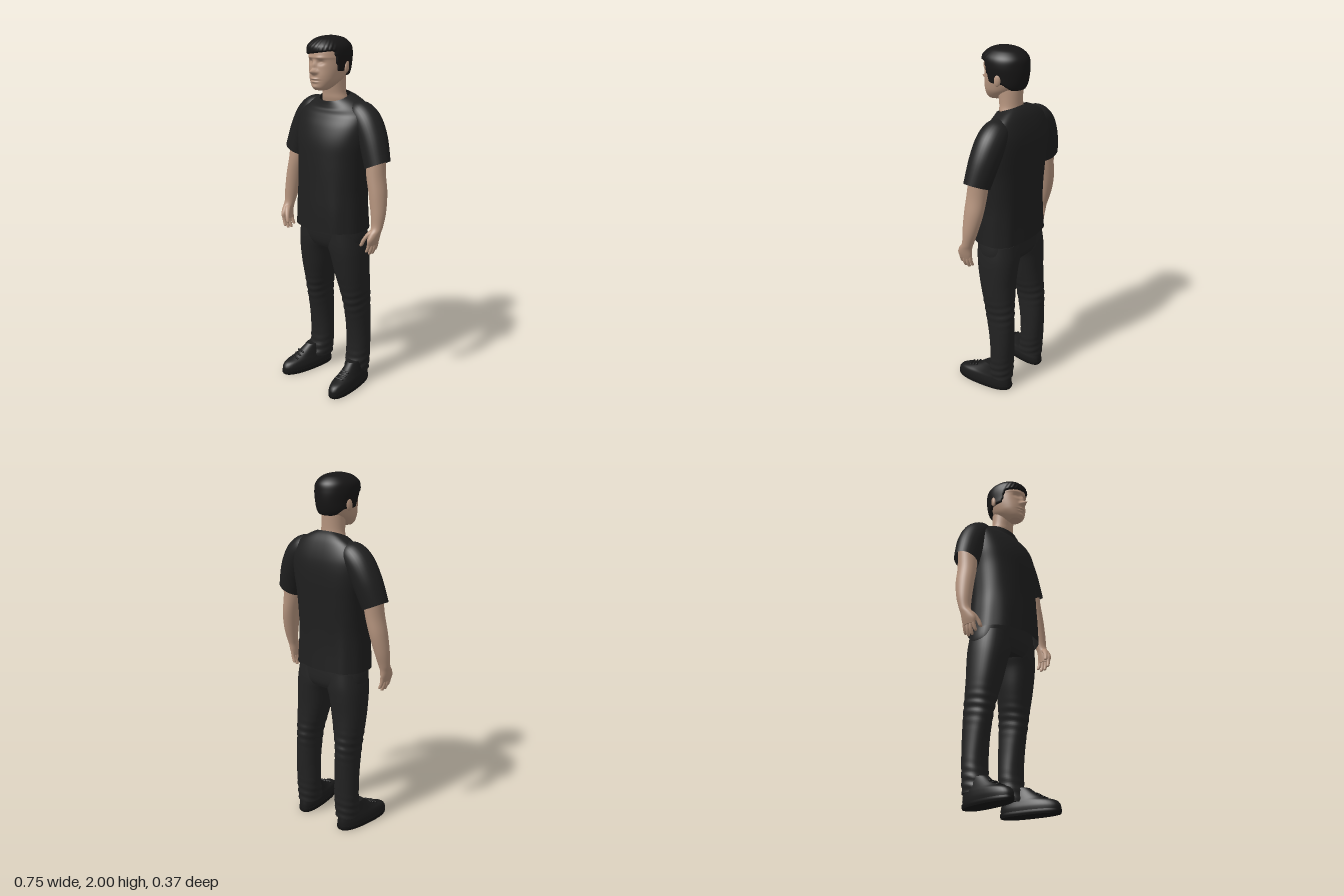
import * as THREE from 'three';

const mat = (name, color, side = THREE.FrontSide) => {
  const m = new THREE.MeshStandardMaterial({ color, side });
  m.name = name;
  return m;
};
const { smoothstep } = THREE.MathUtils;

// Section from bounds: height, x range, z range
const sec = (y, x0, x1, z0, z1) => [(x0 + x1) / 2, y, (z0 + z1) / 2, (x1 - x0) / 2, (z1 - z0) / 2, 0];
const mid = (y, hw, z0, z1) => sec(y, -hw, hw, z0, z1);

// Smooth loft through sections [x, y, z, rx, rz, tilt], listed bottom to top
function loft(sections, { seg = 32, steps = 6, front = 2, back = 2, caps = true, warp } = {}) {
  const n = sections.length, rows = [];
  for (let k = 0; k <= (n - 1) * steps; k++) {
    const i = Math.min(Math.floor(k / steps), n - 2), t = k / steps - i;
    const [p0, p1, p2, p3] = [-1, 0, 1, 2].map(d => sections[Math.min(Math.max(i + d, 0), n - 1)]);
    rows.push(p1.map((b, c) => {
      const m1 = (p2[c] - p0[c]) / 2, m2 = (p3[c] - b) / 2, d = p2[c] - b;
      return b + m1 * t + (3 * d - 2 * m1 - m2) * t * t + (m1 + m2 - 2 * d) * t * t * t;
    }));
  }
  if (caps) {
    const [a, b] = [rows[0], rows[rows.length - 1]];
    const point = r => [r[0], r[1], r[2], 0, 0, 0];
    rows.unshift(point(a), a.slice());
    rows.push(b.slice(), point(b));
  }
  const pos = [], idx = [], v = new THREE.Vector3();
  rows.forEach(([x, y, z, rx, rz, tilt], r) => {
    for (let j = 0; j < seg; j++) {
      const a = j / seg * Math.PI * 2, c = Math.cos(a), s = Math.sin(a);
      const e = 2 / (s >= 0 ? front : back);
      const dx = Math.sign(c) * Math.abs(c) ** e * rx, dz = Math.sign(s) * Math.abs(s) ** e * rz;
      v.set(x + dx * Math.cos(tilt), y + dx * Math.sin(tilt), z + dz);
      if (warp) warp(v, a, x, z);
      pos.push(v.x, v.y, v.z);
      if (r < rows.length - 1) {
        const p = r * seg + j, q = r * seg + (j + 1) % seg;
        idx.push(p, p + seg, q, q, p + seg, q + seg);
      }
    }
  });
  const g = new THREE.BufferGeometry();
  g.setAttribute('position', new THREE.Float32BufferAttribute(pos, 3));
  g.setIndex(idx);
  g.computeVertexNormals();
  return g;
}

// Mirrored copy across x = 0
function mirrored(geo) {
  const g = geo.clone(), ix = g.index.array;
  g.scale(-1, 1, 1);
  for (let i = 0; i < ix.length; i += 3) [ix[i], ix[i + 1]] = [ix[i + 1], ix[i]];
  g.computeVertexNormals();
  return g;
}

export function createModel() {
  const model = new THREE.Group();
  model.name = 'standingMan';
  const skin = mat('skin', 0xb5947e);
  const hairMat = mat('hair', 0x171616);
  const shirtMat = mat('shirt', 0x1f1f1f, THREE.DoubleSide);
  const trouserMat = mat('trousers', 0x222222);
  const shoeMat = mat('shoes', 0x1b1b1b);
  const soleMat = mat('soles', 0x141414);
  const add = (name, geo, m) => {
    const mesh = new THREE.Mesh(geo, m);
    mesh.name = name;
    model.add(mesh);
  };
  const pair = (name, geo, m) => {
    add('left' + name, geo, m);
    add('right' + name, mirrored(geo), m);
  };

  // Head with sculpted face: [x, y, width, height, push]
  const bumps = [
    [0, 1.822, .014, .012, .038], [0, 1.852, .011, .022, .016],
    [.018, 1.818, .008, .008, .008], [-.018, 1.818, .008, .008, .008],
    [.036, 1.868, .018, .011, -.012], [-.036, 1.868, .018, .011, -.012],
    [.036, 1.866, .011, .006, .006], [-.036, 1.866, .011, .006, .006],
    [.035, 1.893, .024, .008, .004], [-.035, 1.893, .024, .008, .004],
    [0, 1.784, .022, .005, .010], [0, 1.768, .020, .005, .008],
    [0, 1.776, .026, .003, -.005], [0, 1.742, .02, .010, .005],
  ];
  add('head', loft([
    mid(1.724, .034, .015, .088), mid(1.74, .053, -.02, .1), mid(1.77, .075, -.07, .104),
    mid(1.80, .086, -.105, .106), mid(1.84, .094, -.125, .103), mid(1.88, .096, -.13, .103),
    mid(1.90, .096, -.13, .107), mid(1.94, .09, -.12, .096), mid(1.97, .065, -.08, .055),
  ], {
    seg: 96, steps: 9, front: 2.25, warp: v => {
      if (v.z < .03) return;
      let push = 0;
      for (const [x, y, w, h, d] of bumps) push += d * Math.exp(-(((v.x - x) / w) ** 2 + ((v.y - y) / h) ** 2));
      v.z += push;
    },
  }), skin);
  add('neck', loft([
    mid(1.62, .08, -.12, -.01), mid(1.67, .076, -.112, .008), mid(1.71, .066, -.106, .014), mid(1.79, .064, -.108, .03),
  ]), skin);
  const ear = new THREE.SphereGeometry(1, 16, 12).scale(.011, .033, .019).rotateX(-.15).rotateY(.3).translate(.1, 1.845, -.035);
  pair('Ear', ear, skin);

  // Short hair: a cap tucked into the head below the hairline
  add('hair', loft([
    mid(1.775, .07, -.112, .06), mid(1.81, .096, -.13, .09), mid(1.86, .105, -.141, .109),
    mid(1.91, .11, -.143, .115), mid(1.95, .103, -.136, .112), mid(1.98, .076, -.105, .08),
    mid(1.994, .045, -.068, .045), mid(2.0, .012, -.03, .012),
  ], {
    seg: 96, steps: 9, front: 2.2, warp: (v, a) => {
      const f = smoothstep(v.z, .02, .06);
      const line = 1.822 + f * (.092 + v.x * .15) - .035 * smoothstep(-v.z, .05, .11);
      const k = .8 + .2 * smoothstep(v.y, line - .006, line + .006);
      const strand = 1 + .012 * f * Math.sin(a * 30 + v.y * 120);
      v.x *= k * strand;
      v.z = -.015 + (v.z + .015) * k * strand;
    },
  }), hairMat);

  // T-shirt body, collar dipping toward the front
  add('shirtBody', loft([
    mid(.96, .221, -.182, .132), mid(1.08, .213, -.176, .131), mid(1.2, .207, -.176, .126),
    mid(1.35, .213, -.184, .118), mid(1.45, .228, -.188, .108), mid(1.53, .235, -.186, .085),
    mid(1.59, .228, -.176, .055), mid(1.645, .19, -.155, .03), mid(1.685, .135, -.132, .022),
    mid(1.71, .088, -.112, .018),
  ], {
    seg: 64, front: 2.15, back: 2.9, caps: false, warp: (v, a) => {
      v.y -= (v.z + .115) * .38 * smoothstep(v.y, 1.58, 1.7);
      v.z += .003 * Math.sin(a * 9) * smoothstep(1.3 - v.y, 0, .3);
    },
  }), shirtMat);
  pair('Sleeve', loft([
    [.303, 1.345, -.06, .075, .068, .42], [.263, 1.46, -.073, .08, .078, .55], [.215, 1.55, -.079, .08, .081, .7],
    [.165, 1.6, -.08, .07, .074, 1], [.12, 1.62, -.08, .05, .055, 1.2],
  ], { caps: false }), shirtMat);

  // Arms with palm, then fingers and thumb
  pair('Arm', loft([
    [.333, .925, .003, .016, .04, 0], [.337, .955, .002, .022, .045, 0], [.34, .99, -.008, .027, .038, 0],
    [.34, 1.025, -.024, .032, .032, 0], [.334, 1.1, -.038, .041, .043, 0], [.318, 1.2, -.05, .047, .054, 0],
    [.297, 1.3, -.056, .05, .056, 0], [.285, 1.42, -.066, .055, .055, 0],
  ]), skin);
  [[.033, .885], [.012, .868], [-.01, .866], [-.03, .882]].forEach(([z, y], i) => {
    pair('Finger' + (i + 1), loft([
      [.319, y, z * 1.1, .004, .005, 0], [.321, y + .006, z * 1.1, .0085, .009, 0],
      [.331, y + .035, z, .0105, .0105, 0], [.335, .95, z, .012, .012, 0],
    ], { seg: 14 }), skin);
  });
  pair('Thumb', loft([
    [.287, .916, .046, .005, .005, 0], [.29, .924, .044, .01, .01, 0], [.302, .955, .036, .012, .012, 0],
    [.322, .99, .014, .016, .017, 0], [.335, 1.01, -.005, .013, .015, 0],
  ], { seg: 16 }), skin);

  // Trousers: hips and legs with creases at knee and ankle
  add('trouserHips', loft([
    mid(.85, .19, -.155, .06), mid(.88, .211, -.167, .074), mid(.93, .214, -.168, .084), mid(1.02, .2, -.16, .09),
  ], { seg: 48, front: 2.3, back: 2.5 }), trouserMat);
  pair('TrouserLeg', loft([
    sec(.075, .085, .213, -.163, -.012), sec(.2, .078, .217, -.167, -.035), sec(.35, .083, .214, -.172, -.025),
    sec(.5, .083, .211, -.172, .003), sec(.6, .062, .218, -.165, .022), sec(.7, .04, .221, -.162, .045),
    sec(.8, .021, .22, -.166, .064), sec(.87, -.002, .216, -.168, .073), sec(.95, 0, .205, -.16, .075),
  ], {
    seg: 40, steps: 14, front: 2.2, back: 2.3, warp: (v, a, x, z) => {
      const crease = Math.exp(-(((v.y - .52) / .07) ** 2)) + 1.3 * Math.exp(-(((v.y - .13) / .07) ** 2));
      const k = 1 + .028 * crease * Math.sin(v.y * 130 + 2.5 * Math.sin(a));
      v.x = x + (v.x - x) * k;
      v.z = z + (v.z - z) * k;
    },
  }), trouserMat);

  // Shoes, turned slightly outward, with soles and laces
  const splay = v => { v.x += (v.z - .06) * .13; };
  pair('Shoe', loft([
    sec(.02, .121, .239, -.162, .181), sec(.045, .12, .24, -.163, .18), sec(.07, .126, .236, -.16, .158),
    sec(.09, .132, .23, -.157, .1), sec(.12, .138, .222, -.153, .045), sec(.15, .14, .215, -.15, .005),
  ], { seg: 40, front: 2.3, back: 2.6, warp: splay }), shoeMat);
  pair('Sole', loft([
    sec(0, .121, .239, -.163, .18), sec(.012, .118, .242, -.167, .185), sec(.024, .119, .241, -.166, .184),
  ], { seg: 40, front: 2.3, back: 2.6, warp: splay }), soleMat);
  [[.1, .088], [.075, .1], [.052, .113]].forEach(([z, y], i) => {
    const lace = new THREE.CapsuleGeometry(.006, .045, 4, 8).rotateZ(Math.PI / 2).rotateY(.15).translate(.184, y, z);
    pair('Lace' + (i + 1), lace, soleMat);
  });
  return model;
}
